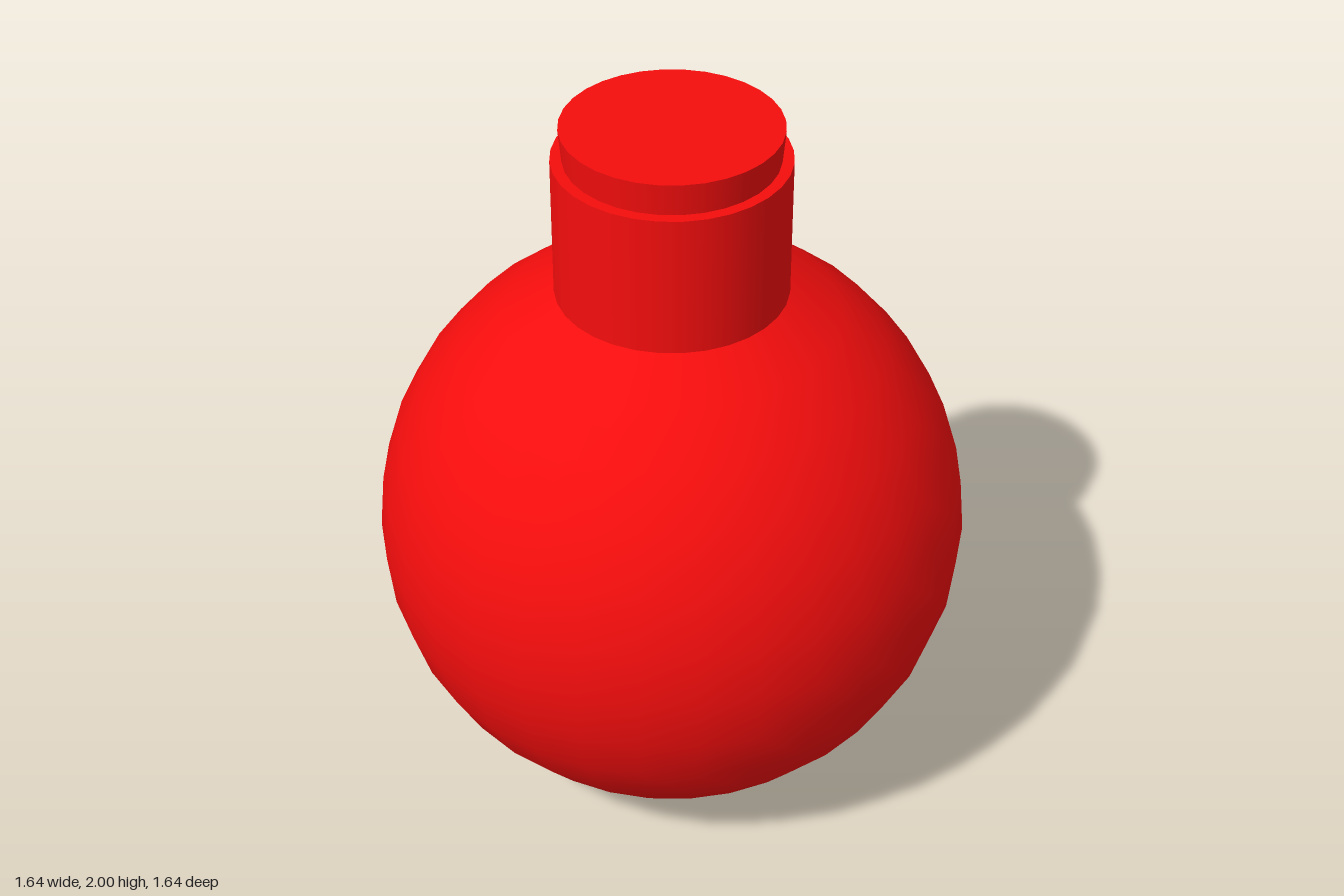
import * as THREE from 'three';

const SIDES = 32;
const R = 0.82; // body radius
const CUT = Math.PI / 8; // polar angle where the sphere is cut flat
const NECK_R = R * Math.sin(CUT);
const CENTRE_Y = R * Math.cos(CUT);
const NECK_BASE = 2 * CENTRE_Y;
const NECK_TOP = 1.91;

export function createModel() {
  const model = new THREE.Group();
  const material = new THREE.MeshStandardMaterial({ color: 0xf50d0d });
  const add = (name, geometry, y = 0) => {
    const mesh = new THREE.Mesh(geometry, material);
    mesh.name = name;
    mesh.position.y = y;
    model.add(mesh);
    return mesh;
  };

  // Round body with a flat, softly shaded base, open under the neck
  const profile = [new THREE.Vector2(0, 0)];
  for (let i = 0; i <= 12; i++) {
    const a = CUT + (i * Math.PI) / 16;
    profile.push(new THREE.Vector2(R * Math.sin(a), CENTRE_Y - R * Math.cos(a)));
  }
  add('body', new THREE.LatheGeometry(profile, SIDES));

  // Straight neck with a flat rim
  const neckHeight = NECK_TOP - NECK_BASE;
  add('neck', new THREE.CylinderGeometry(NECK_R, NECK_R, neckHeight, SIDES, 1, true), NECK_BASE + neckHeight / 2);
  add('neckRim', new THREE.RingGeometry(0.283, NECK_R, SIDES), NECK_TOP).rotation.x = -Math.PI / 2;

  // Stopper, slightly wider at the top
  const stopperHeight = 2 - NECK_TOP;
  add('stopper', new THREE.CylinderGeometry(0.291, 0.283, stopperHeight, SIDES), NECK_TOP + stopperHeight / 2);

  return model;
}
